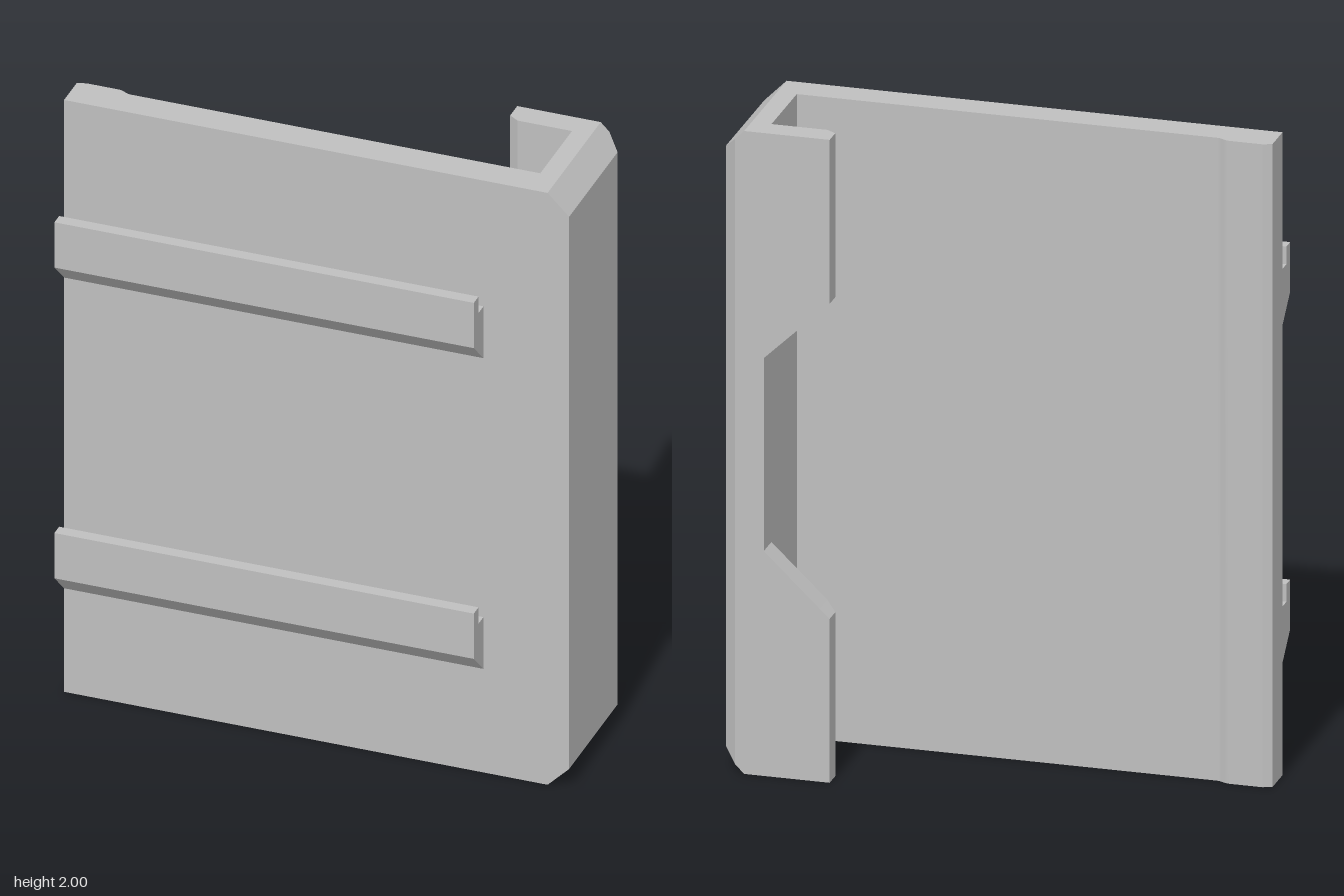
import * as THREE from 'three';
import { toCreasedNormals } from 'three/addons/utils/BufferGeometryUtils.js';

const HEIGHT = 2;

// Extrude a plan outline, given as [x, z] points, upward along y.
function extrudeUp(points) {
  const shape = new THREE.Shape(points.map(([x, z]) => new THREE.Vector2(x, -z)));
  return new THREE.ExtrudeGeometry(shape, { depth: HEIGHT, bevelEnabled: false }).rotateX(-Math.PI / 2);
}

// Loft closed rings of points from bottom to top, with flat caps.
function loft(rings) {
  const pos = [];
  const tri = (a, b, c) => pos.push(...a, ...b, ...c);
  const n = rings[0].length, last = rings[rings.length - 1];
  for (let i = 0; i < rings.length - 1; i++) {
    for (let j = 0; j < n; j++) {
      const k = (j + 1) % n, lo = rings[i], hi = rings[i + 1];
      tri(lo[j], lo[k], hi[k]);
      tri(lo[j], hi[k], hi[j]);
    }
  }
  for (let j = 1; j < n - 1; j++) {
    tri(rings[0][0], rings[0][j + 1], rings[0][j]);
    tri(last[0], last[j], last[j + 1]);
  }
  const geo = new THREE.BufferGeometry();
  geo.setAttribute('position', new THREE.Float32BufferAttribute(pos, 3));
  geo.computeVertexNormals();
  return geo;
}

export function createModel() {
  const group = new THREE.Group();
  const grey = new THREE.MeshStandardMaterial({ color: 0xbfbfbf });
  grey.name = 'grey plastic';
  const add = (name, geo) => {
    const mesh = new THREE.Mesh(geo, grey);
    mesh.name = name;
    group.add(mesh);
    return mesh;
  };

  // Flat plate with a low rounded bead along its free edge, and the inner wall
  const bead = new THREE.CubicBezierCurve(
    new THREE.Vector2(-0.66, 0.065), new THREE.Vector2(-0.64, 0.065),
    new THREE.Vector2(-0.635, 0.08), new THREE.Vector2(-0.615, 0.08)
  ).getPoints(6).map((p) => [p.x, p.y]);
  add('plate', toCreasedNormals(extrudeUp([
    [-0.787, 0.178], [0.72, 0.178], [0.72, -0.18], [0.66, -0.18], [0.66, 0.08],
    ...bead.reverse(), [-0.76, 0.065], [-0.787, 0.075],
  ]), 0.3));

  // Outer wall, its top and bottom corners cut at 45 degrees
  const wall = extrudeUp([
    [0.72, 0.178], [0.787, 0.178], [0.787, -0.22], [0.747, -0.258], [0.72, -0.258],
  ]);
  const p = wall.attributes.position;
  for (let i = 0; i < p.count; i++) {
    const cut = Math.max(0, p.getX(i) - 0.72);
    p.setY(i, THREE.MathUtils.clamp(p.getY(i), cut, HEIGHT - cut));
  }
  wall.computeVertexNormals();
  add('outerWall', wall);

  // Return lip with a trapezoid notch and a small bevel on the inner free edge
  const levels = [
    [0, 0.46], [0.51, 0.46], [0.538, 0.49], [0.7, 0.66],
    [1.3, 0.66], [1.462, 0.49], [1.49, 0.46], [2, 0.46],
  ];
  add('returnLip', loft(levels.map(([y, x]) => [
    [x, y, -0.258],
    [x, y, x < 0.49 ? -0.2 : -0.18],
    [Math.max(x, 0.49), y, -0.18],
    [0.72, y, -0.18],
    [0.72, y, -0.258],
  ])));

  // Two hooked rails across the front
  const hook = new THREE.Shape([
    [0.178, 0], [0.257, 0.077], [0.257, 0.23], [0.218, 0.23], [0.218, 0.175], [0.178, 0.175],
  ].map(([z, y]) => new THREE.Vector2(z, y)));
  const rail = new THREE.ExtrudeGeometry(hook, { depth: 1.307, bevelEnabled: false })
    .rotateY(-Math.PI / 2).translate(0.52, 0, 0);
  add('lowerRail', rail).position.y = 0.35;
  add('upperRail', rail).position.y = 1.4;

  return group;
}
